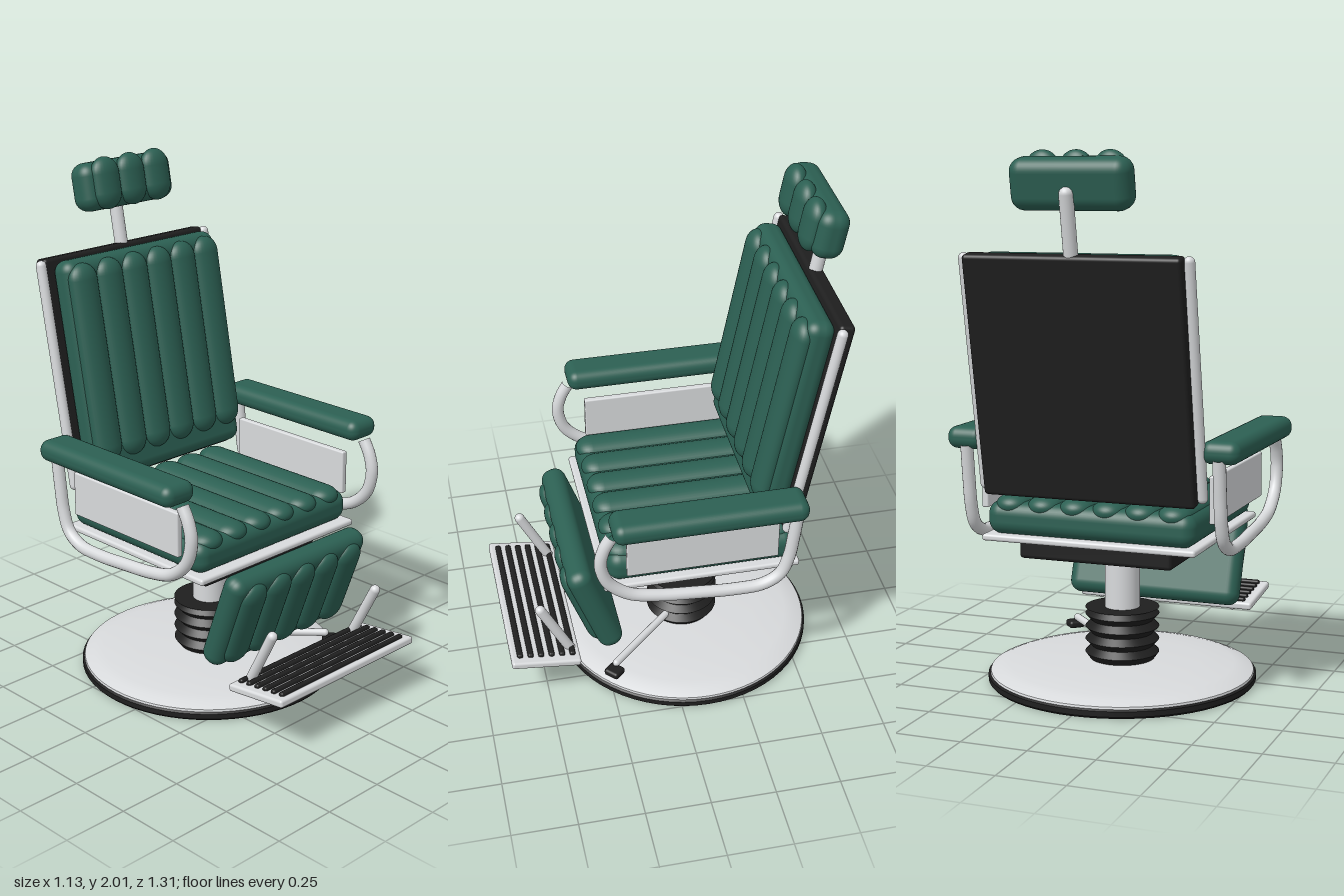
import * as THREE from 'three';
import { RoundedBoxGeometry } from 'three/addons/geometries/RoundedBoxGeometry.js';
import { toCreasedNormals } from 'three/addons/utils/BufferGeometryUtils.js';

const material = (name, color) => {
  const m = new THREE.MeshStandardMaterial({ color });
  m.name = name;
  return m;
};

export function createModel() {
  const green = material('green leather', 0x2c6053);
  const chrome = material('chrome', 0xd8dadc);
  const black = material('black', 0x1f1f1f);

  const model = new THREE.Group();
  model.name = 'reclining chair';

  const add = (parent, name, geometry, mat, x = 0, y = 0, z = 0) => {
    const mesh = new THREE.Mesh(geometry, mat);
    mesh.name = name;
    mesh.position.set(x, y, z);
    parent.add(mesh);
    return mesh;
  };
  const section = (name, y, z, tilt) => {
    const g = new THREE.Group();
    g.name = name;
    g.position.set(0, y, z);
    g.rotation.x = tilt;
    model.add(g);
    return g;
  };
  const pad = (w, h, d, r) => new RoundedBoxGeometry(w, h, d, 5, r);
  const lathe = (points) => toCreasedNormals(
    new THREE.LatheGeometry(points.map(([r, y]) => new THREE.Vector2(r, y)), 64), 0.5);

  // Round rod between two points, with rounded ends
  const rod = (parent, name, a, b, r, mat = chrome) => {
    const from = new THREE.Vector3(...a), to = new THREE.Vector3(...b);
    const dir = to.clone().sub(from);
    const mesh = add(parent, name, new THREE.CapsuleGeometry(r, dir.length() - 2 * r, 6, 20), mat);
    mesh.position.copy(from).add(to).multiplyScalar(0.5);
    mesh.quaternion.setFromUnitVectors(new THREE.Vector3(0, 1, 0), dir.normalize());
  };

  // Row of flattened upholstery rolls running along local y, bulging along local z
  const rolls = (parent, name, count, pitch, length, bulge, y, z) => {
    const r = pitch / 2;
    const geometry = new THREE.CapsuleGeometry(r, length - 2 * r, 10, 28);
    geometry.scale(1, 1, bulge / r);
    for (let i = 0; i < count; i++) {
      add(parent, name, geometry, green, (i - (count - 1) / 2) * pitch, y, z);
    }
  };

  // Pedestal: round base, bellows, piston
  const axis = -0.105;
  add(model, 'baseRubberRim', lathe([[0.49, 0], [0.508, 0], [0.515, 0.008], [0.515, 0.028], [0.505, 0.035], [0.49, 0.035], [0.49, 0]]),
    black, 0, 0, axis);
  add(model, 'baseDome', lathe([[0, 0.001], [0.492, 0.001], [0.508, 0.03], [0.505, 0.042], [0.47, 0.056],
    [0.43, 0.064], [0.3, 0.072], [0.15, 0.08], [0, 0.08]]), chrome, 0, 0, axis);
  const bellows = [[0, 0.075], [0.12, 0.075]];
  for (let i = 0; i < 4; i++) bellows.push([0.142, 0.105 + i * 0.05], [0.118, 0.13 + i * 0.05]);
  bellows.push([0.142, 0.28], [0, 0.28]);
  add(model, 'bellows', lathe(bellows), black, 0, 0, axis);
  add(model, 'piston', new THREE.CylinderGeometry(0.067, 0.067, 0.25, 40), chrome, 0, 0.39, axis);
  add(model, 'pistonCollar', new THREE.CylinderGeometry(0.082, 0.082, 0.018, 40), chrome, 0, 0.503, axis);

  // Foot pump lever
  rod(model, 'pumpLever', [0.08, 0.12, -0.03], [0.335, 0.12, 0.24], 0.015);
  const pedal = add(model, 'pumpPedal', pad(0.065, 0.03, 0.06, 0.012), black, 0.34, 0.09, 0.24);
  pedal.rotation.y = 0.76;

  // Seat
  add(model, 'seatPan', pad(0.6, 0.075, 0.58, 0.015), black, 0, 0.543, axis);
  add(model, 'seatFrame', pad(0.83, 0.025, 0.76, 0.01), chrome, 0, 0.593, -0.095);
  add(model, 'seatCushion', pad(0.81, 0.125, 0.73, 0.05), green, 0, 0.665, -0.1);
  const seatTop = section('seatRolls', 0.713, -0.1, -Math.PI / 2);
  rolls(seatTop, 'seatRoll', 6, 0.127, 0.73, 0.04, 0, 0);

  // Backrest
  const back = section('backrest', 1.2, -0.515, -0.186);
  add(back, 'backPanel', pad(0.82, 0.905, 0.06, 0.015), black);
  add(back, 'backCushion', pad(0.775, 0.865, 0.11, 0.045), green, 0, 0.005, 0.078);
  rolls(back, 'backRoll', 6, 0.127, 0.775, 0.042, 0.035, 0.125);
  for (const s of [1, -1]) rod(back, 'backSideRail', [s * 0.423, -0.445, 0.022], [s * 0.423, 0.45, 0.022], 0.02);

  // Headrest
  rod(back, 'headrestPost', [0, 0.4, 0], [0, 0.69, 0], 0.026);
  add(back, 'headrestPad', pad(0.45, 0.185, 0.12, 0.05), green, 0, 0.69, 0.06);
  rolls(back, 'headrestRoll', 3, 0.127, 0.2, 0.04, 0.698, 0.113);

  // Arms
  const armPath = new THREE.CatmullRomCurve3([
    [0.915, 0.265], [0.86, 0.295], [0.79, 0.31], [0.7, 0.285], [0.63, 0.205], [0.603, 0.1],
    [0.588, -0.05], [0.578, -0.2], [0.585, -0.31], [0.625, -0.375], [0.7, -0.405], [0.8, -0.42], [0.93, -0.435],
  ].map(([y, z]) => new THREE.Vector3(0, y, z)));
  const armTube = new THREE.TubeGeometry(armPath, 72, 0.024, 16);
  for (const s of [1, -1]) {
    const arm = new THREE.Group();
    arm.name = s > 0 ? 'leftArm' : 'rightArm';
    model.add(arm);
    add(arm, 'armPad', pad(0.147, 0.083, 0.73, 0.038), green, s * 0.494, 0.955, -0.095);
    add(arm, 'armTube', armTube, chrome, s * 0.49);
    add(arm, 'sidePanel', pad(0.026, 0.175, 0.58, 0.006), chrome, s * 0.447, 0.772, -0.085);
  }

  // Calf pad
  const calf = section('calfRest', 0.418, 0.315, 0.35);
  add(calf, 'calfCushion', pad(0.715, 0.41, 0.1, 0.045), green, 0, 0, -0.008);
  rolls(calf, 'calfRoll', 5, 0.13, 0.375, 0.035, 0, 0.036);

  // Footrest plate with grip strips and its two arms
  const foot = section('footrest', 0.205, 0.51, -0.115);
  add(foot, 'footPlate', pad(0.74, 0.03, 0.272, 0.01), chrome);
  for (let i = 0; i < 6; i++) {
    add(foot, 'gripStrip', pad(0.675, 0.022, 0.022, 0.008), black, 0, 0.017, 0.102 - i * 0.0415);
  }
  for (const s of [1, -1]) rod(model, 'footrestArm', [s * 0.285, 0.435, 0.525], [s * 0.285, 0.17, 0.39], 0.02);

  return model;
}
